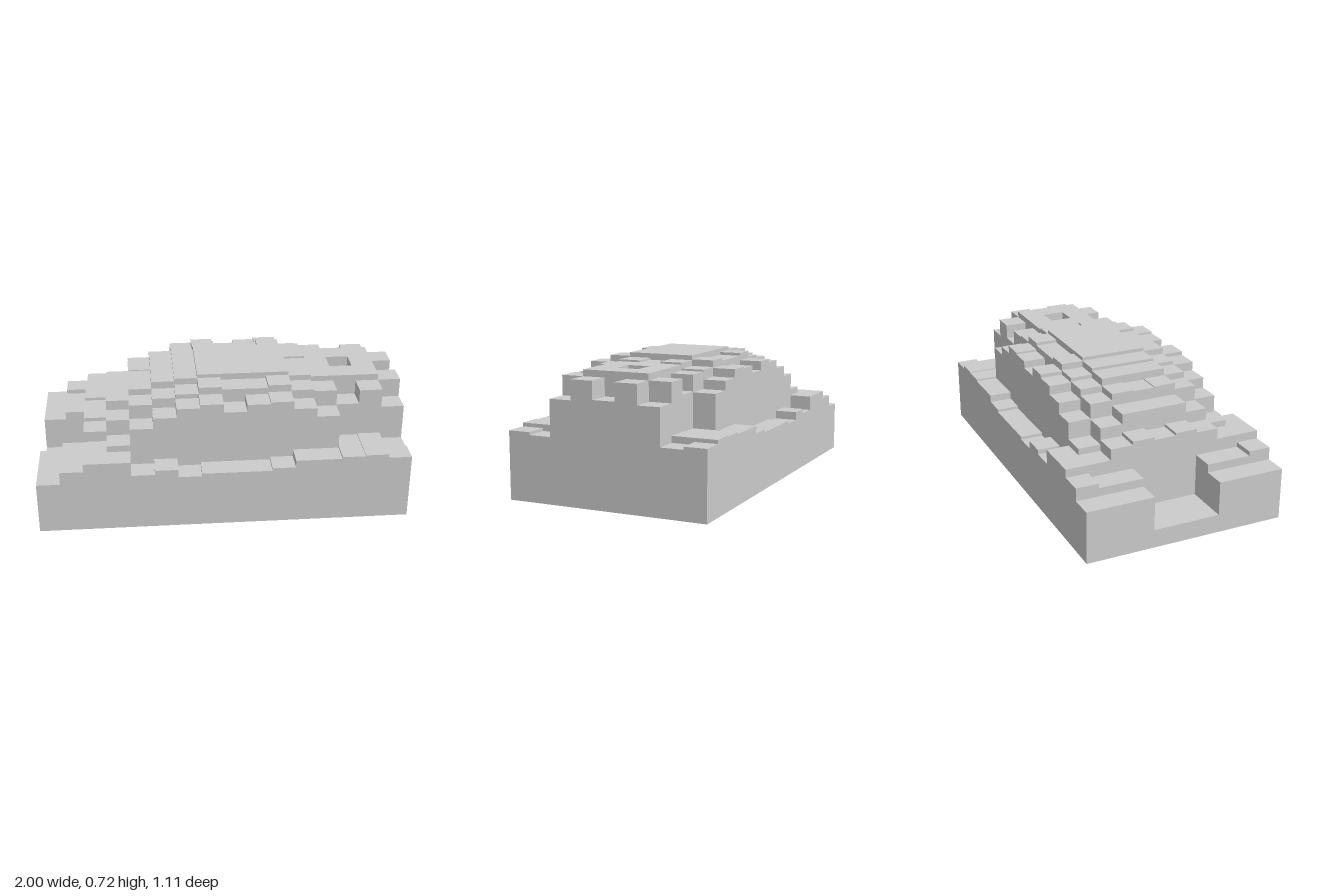
import * as THREE from 'three';

// Column heights along x (-1 to 1), from the outer edge row to the centre row; mirrored in z.
const HALF = [
  [.285, .355, .40, .40, .32, .345, .30, .315, .315, .315, .33, .37, .37, .38, .385, .365],
  [.285, .33, .40, .435, .53, .59, .64, .66, .61, .65, .66, .615, .565, .38, .385, .35],
  [.285, .33, .46, .525, .61, .645, .665, .70, .685, .685, .70, .665, .655, .57, .65, .545],
  [.10, .10, .48, .58, .645, .685, .70, .72, .72, .72, .72, .695, .685, .685, .685, .65],
  [.10, .10, .465, .58, .64, .685, .70, .72, .72, .72, .72, .685, .685, .62, .685, .555],
];
const NX = 16, NZ = 9, DX = 2 / NX, DZ = 1.11 / NZ;

const height = (i, k) =>
  i < 0 || k < 0 || i >= NX || k >= NZ ? 0 : HALF[Math.min(k, NZ - 1 - k)][i];

// Collects quads (corners counter-clockwise from outside) into one mesh.
function quadMesh(name, quads, material) {
  const positions = [];
  for (const [a, b, c, d] of quads) positions.push(...a, ...b, ...c, ...a, ...c, ...d);
  const geometry = new THREE.BufferGeometry();
  geometry.setAttribute('position', new THREE.Float32BufferAttribute(positions, 3));
  geometry.computeVertexNormals();
  const mesh = new THREE.Mesh(geometry, material);
  mesh.name = name;
  return mesh;
}

export function createModel() {
  const group = new THREE.Group();
  group.name = 'steppedMound';
  const material = new THREE.MeshStandardMaterial({ color: 0xcccccc, flatShading: true });
  const tops = [], walls = [];

  for (let k = 0; k < NZ; k++) {
    for (let i = 0; i < NX; i++) {
      const h = height(i, k);
      const x0 = -1 + i * DX, x1 = x0 + DX;
      const z0 = -0.555 + k * DZ, z1 = z0 + DZ;
      tops.push([[x0, h, z1], [x1, h, z1], [x1, h, z0], [x0, h, z0]]);

      // Exposed risers down to each lower neighbour, or to the ground at the rim
      const sides = [
        [height(i, k + 1), x0, z1, x1, z1],
        [height(i + 1, k), x1, z1, x1, z0],
        [height(i, k - 1), x1, z0, x0, z0],
        [height(i - 1, k), x0, z0, x0, z1],
      ];
      for (const [low, ax, az, bx, bz] of sides) {
        if (low < h) walls.push([[ax, low, az], [bx, low, bz], [bx, h, bz], [ax, h, az]]);
      }
    }
  }

  // Flat underside
  const underside = [[[-1, 0, -.555], [1, 0, -.555], [1, 0, .555], [-1, 0, .555]]];

  group.add(
    quadMesh('stepTops', tops, material),
    quadMesh('stepWalls', walls, material),
    quadMesh('underside', underside, material),
  );
  return group;
}
